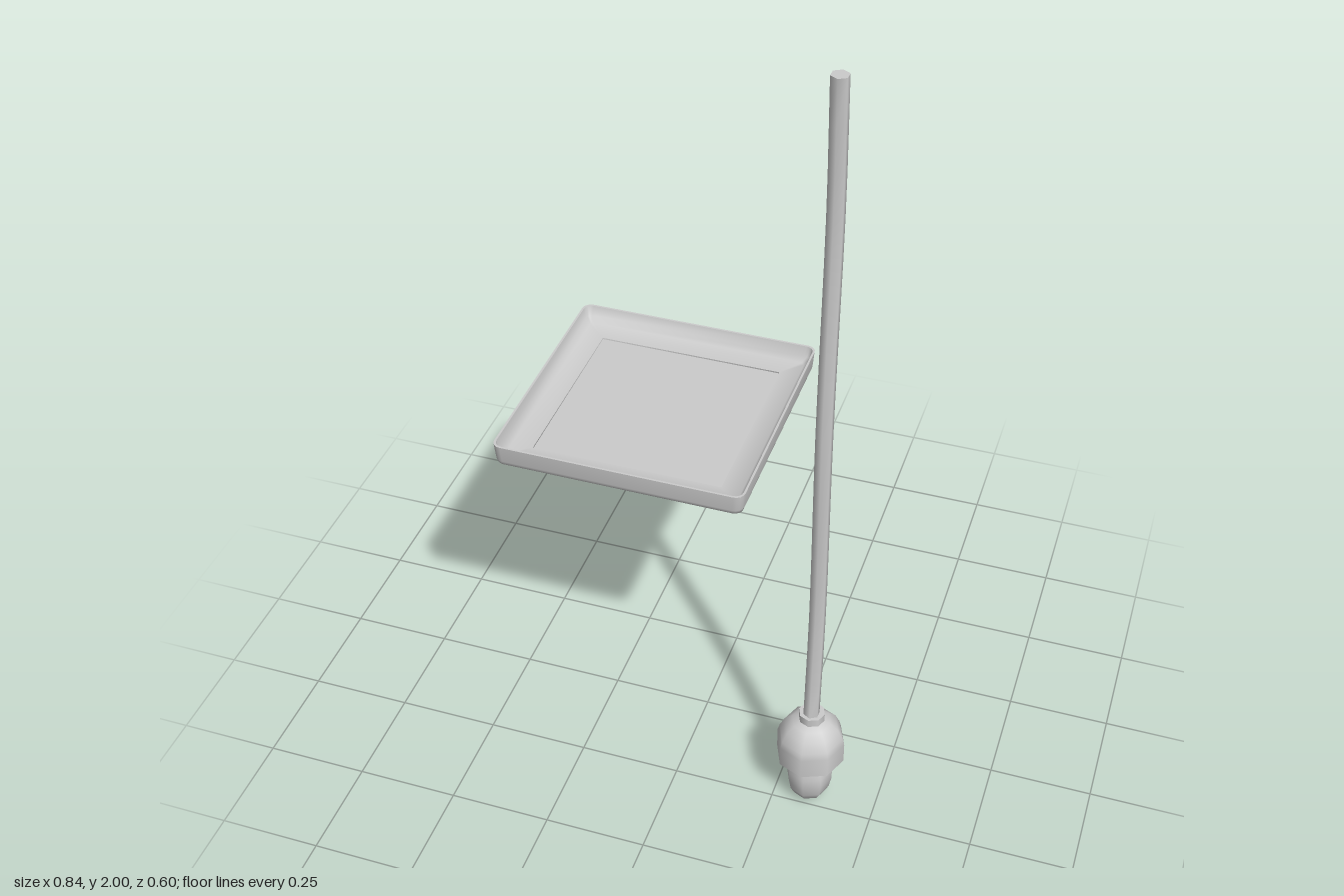
import * as THREE from 'three';
import { toCreasedNormals } from 'three/addons/utils/BufferGeometryUtils.js';

const material = new THREE.MeshStandardMaterial({ color: 0xcccccc });

function addMesh(parent, name, geometry, x = 0, y = 0, z = 0) {
  const mesh = new THREE.Mesh(geometry, material);
  mesh.name = name;
  mesh.position.set(x, y, z);
  parent.add(mesh);
  return mesh;
}

// Octagonal turned part; profile runs from bottom to top as [radius, height]
function turned(profile) {
  return new THREE.LatheGeometry(profile.map(([r, y]) => new THREE.Vector2(r, y)), 8);
}

// Square ring swept from a profile of [half width, height, corner radius]
function squareRing(profile, cornerSteps = 4) {
  const ringSize = 4 * (cornerSteps + 1);
  const positions = [];
  const index = [];
  for (const [half, y, radius] of profile) {
    for (let corner = 0; corner < 4; corner++) {
      const mid = (corner + 0.5) * Math.PI / 2;
      for (let s = 0; s <= cornerSteps; s++) {
        const a = (corner + s / cornerSteps) * Math.PI / 2;
        positions.push(
          Math.sign(Math.cos(mid)) * (half - radius) + radius * Math.cos(a), y,
          Math.sign(Math.sin(mid)) * (half - radius) + radius * Math.sin(a));
      }
    }
  }
  for (let i = 0; i < profile.length - 1; i++) {
    for (let j = 0; j < ringSize; j++) {
      const k = (j + 1) % ringSize;
      const a = i * ringSize + j, b = a + ringSize;
      const c = i * ringSize + k, d = c + ringSize;
      index.push(a, b, c, b, d, c);
    }
  }
  const geometry = new THREE.BufferGeometry();
  geometry.setAttribute('position', new THREE.Float32BufferAttribute(positions, 3));
  geometry.setIndex(index);
  return toCreasedNormals(geometry, 1.0);
}

function createTray() {
  const tray = new THREE.Group();
  tray.name = 'tray';
  // Thin rim: underside, outer wall, lip, then the sloping inside
  addMesh(tray, 'trayRim', squareRing([
    [0.226, 0.920, 0.001], [0.282, 0.920, 0.015], [0.292, 0.924, 0.02],
    [0.295, 0.934, 0.022], [0.298, 0.975, 0.022], [0.293, 0.975, 0.019],
    [0.287, 0.950, 0.016], [0.275, 0.938, 0.012], [0.226, 0.934, 0.001],
    [0.226, 0.920, 0.001],
  ]));
  // Slightly recessed floor
  addMesh(tray, 'trayFloor', new THREE.BoxGeometry(0.454, 0.007, 0.454), 0, 0.927, 0);
  tray.position.set(-0.121, 0, -0.004);
  return tray;
}

function createPendantLamp() {
  const lamp = new THREE.Group();
  lamp.name = 'pendantLamp';

  addMesh(lamp, 'bulb', turned([
    [0, 0], [0.022, 0.006], [0.04, 0.021], [0.051, 0.043], [0.057, 0.075],
    [0.057, 0.1], [0.052, 0.128], [0.045, 0.15],
  ]));

  // Socket housing with a flat underside
  addMesh(lamp, 'socketHousing', turned([
    [0.084, 0.145], [0.084, 0.2], [0.079, 0.218], [0.067, 0.243], [0.048, 0.26], [0.03, 0.268],
  ]));
  addMesh(lamp, 'socketUnderside', turned([[0, 0.145], [0.084, 0.145]]));
  addMesh(lamp, 'cordCollar', new THREE.CylinderGeometry(0.032, 0.032, 0.028, 8), 0, 0.274, 0);

  // Hexagonal cord that sways gently front to back
  const sway = new THREE.CatmullRomCurve3([
    [0.27, 0.005], [0.6, -0.011], [1.15, 0.001], [1.7, -0.011], [2, 0.005],
  ].map(([y, z]) => new THREE.Vector3(0, y, z)));
  const segments = 16;
  const cord = new THREE.CylinderGeometry(0.02, 0.02, 1, 6, segments);
  const p = cord.attributes.position;
  for (let i = 0; i < p.count; i++) {
    const centre = sway.getPointAt(THREE.MathUtils.clamp(p.getY(i) + 0.5, 0, 1));
    p.setXYZ(i, p.getX(i), centre.y, p.getZ(i) + centre.z);
  }
  cord.computeVertexNormals();
  addMesh(lamp, 'cord', toCreasedNormals(cord, 1.2));

  lamp.position.set(0.334, 0, 0.215);
  return lamp;
}

export function createModel() {
  const model = new THREE.Group();
  model.name = 'trayAndPendantLamp';
  model.add(createTray(), createPendantLamp());
  return model;
}
